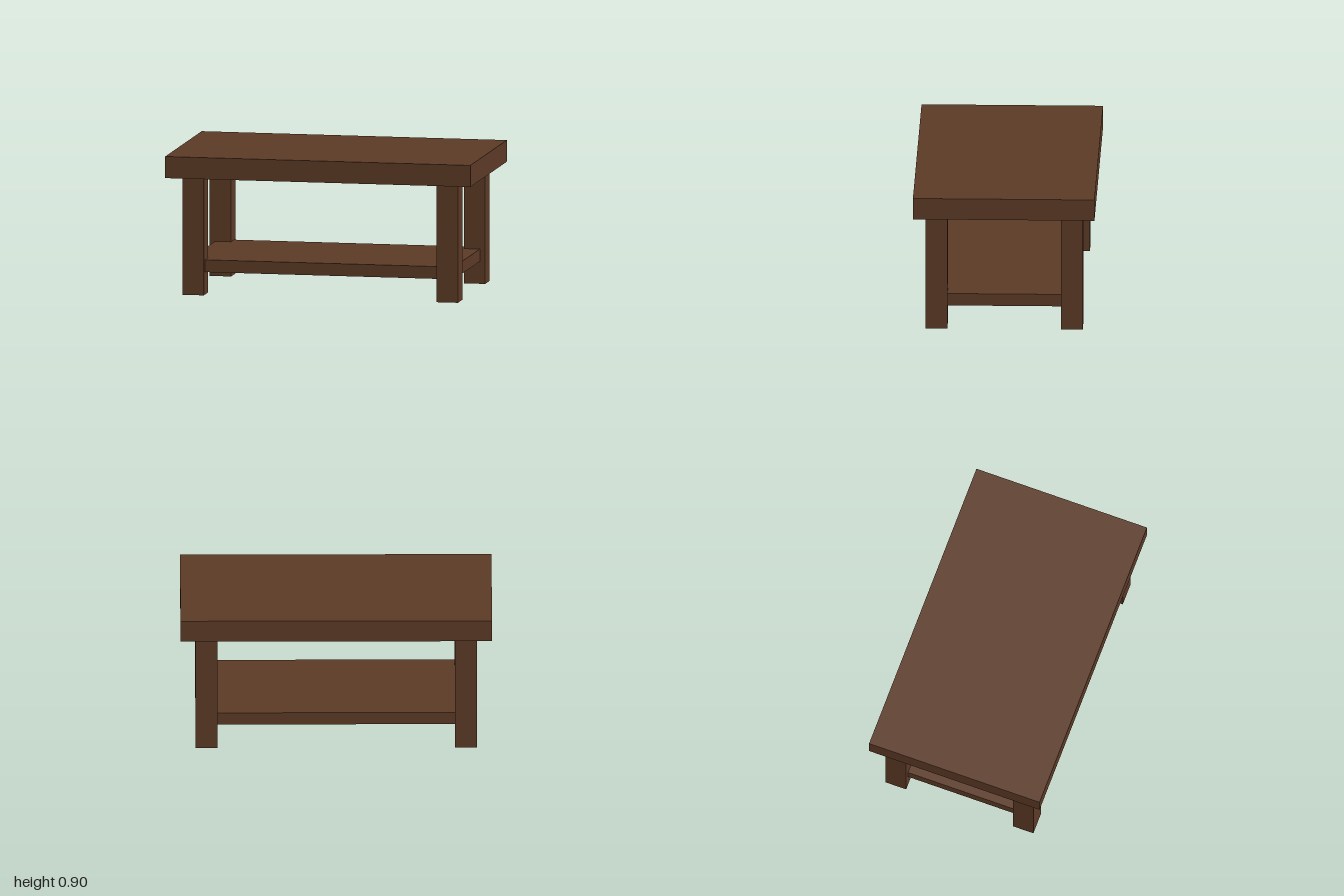
import * as THREE from 'three';

export function createModel() {
  const model = new THREE.Group();
  model.name = 'coffeeTable';

  const wood = new THREE.MeshStandardMaterial({ color: 0x5c3a26 });
  wood.name = 'dark brown wood';

  // Box given by its size and the height of its underside
  function board(name, w, h, d, x, bottom, z) {
    const mesh = new THREE.Mesh(new THREE.BoxGeometry(w, h, d), wood);
    mesh.name = name;
    mesh.position.set(x, bottom + h / 2, z);
    model.add(mesh);
  }

  // Thick table top
  board('tableTop', 2, 0.14, 1.166, 0, 0.765, 0);

  // Lower shelf, let into the legs
  board('shelf', 1.735, 0.08, 0.925, 0, 0.145, 0);

  // Four square legs
  for (const [side, x] of [['Left', 0.833], ['Right', -0.833]]) {
    for (const [end, z] of [['front', 0.435], ['back', -0.435]]) {
      board(`${end}${side}Leg`, 0.14, 0.765, 0.14, x, 0, z);
    }
  }

  return model;
}
